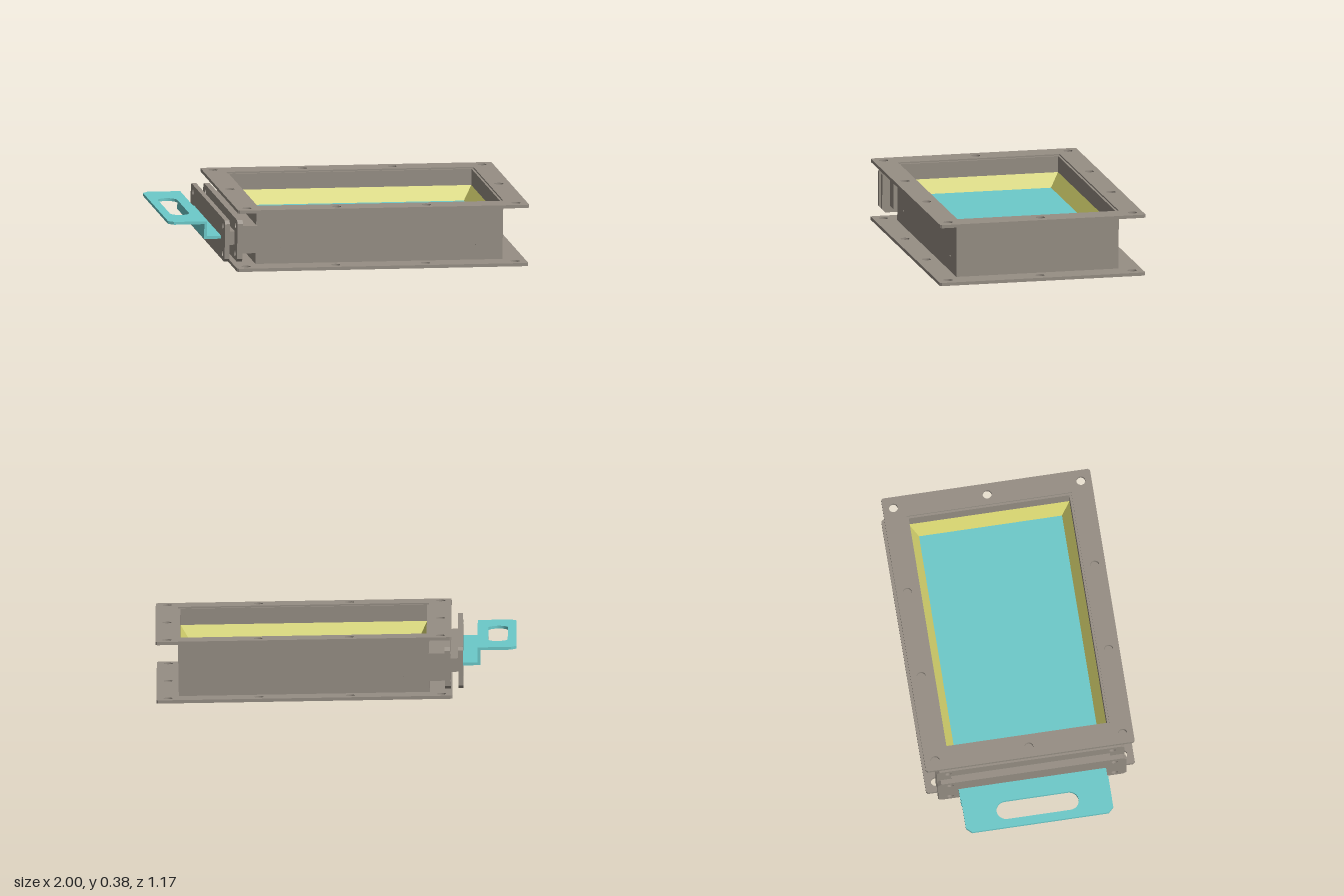
import * as THREE from 'three';

const gray = new THREE.MeshStandardMaterial({ color: 0x968e84 });
gray.name = 'castingGray';
const cyan = new THREE.MeshStandardMaterial({ color: 0x6ccaca });
cyan.name = 'gateCyan';
const yellow = new THREE.MeshStandardMaterial({ color: 0xd2d06c, side: THREE.DoubleSide });
yellow.name = 'sealYellow';

// Closed outline with corners cut by c (set per side: low end, high end)
function outline(Cls, x0, x1, y0, y1, cLow = 0, cHigh = cLow) {
  const p = [
    [x0 + cLow, y0], [x1 - cHigh, y0], [x1, y0 + cHigh], [x1, y1 - cHigh],
    [x1 - cHigh, y1], [x0 + cLow, y1], [x0, y1 - cLow], [x0, y0 + cLow],
  ].filter((a, i, all) => {
    const b = all[(i + 1) % 8];
    return Math.hypot(a[0] - b[0], a[1] - b[1]) > 1e-6;
  });
  return new Cls(p.map(([x, y]) => new THREE.Vector2(x, y)));
}

const roundHole = (x, y, r) => new THREE.Path().absarc(x, y, r, 0, Math.PI * 2, true);

// Slot running along x or y, with round ends
function slotHole(x, y, length, r, alongX) {
  const h = length / 2 - r;
  const path = new THREE.Path();
  if (alongX) {
    path.absarc(x + h, y, r, -Math.PI / 2, Math.PI / 2, false);
    path.absarc(x - h, y, r, Math.PI / 2, Math.PI * 1.5, false);
  } else {
    path.absarc(x, y + h, r, 0, Math.PI, false);
    path.absarc(x, y - h, r, Math.PI, Math.PI * 2, false);
  }
  path.closePath();
  return path;
}

function extrude(shape, depth) {
  return new THREE.ExtrudeGeometry(shape, { depth, bevelEnabled: false, curveSegments: 12 });
}

export function createModel() {
  const model = new THREE.Group();
  model.name = 'slideGateValve';
  // The whole assembly leans one degree
  const body = new THREE.Group();
  body.name = 'tiltedAssembly';
  body.rotation.z = -Math.PI / 180;
  model.add(body);

  const add = (name, geometry, material) => {
    const mesh = new THREE.Mesh(geometry, material);
    mesh.name = name;
    body.add(mesh);
    return mesh;
  };
  // Horizontal plate from a shape in x and z, standing on y
  const flat = (name, shape, y, t, material) =>
    add(name, extrude(shape, t).rotateX(-Math.PI / 2).translate(0, y, 0), material);
  const box = (name, x0, x1, y0, y1, halfZ, material) =>
    add(name, new THREE.BoxGeometry(x1 - x0, y1 - y0, halfZ * 2)
      .translate((x0 + x1) / 2, (y0 + y1) / 2, 0), material);

  // Housing extents
  const X0 = -0.521, X1 = 0.869, Z = 0.462, wall = 0.012;
  const I0 = X0 + wall, I1 = X1 - wall, IZ = Z - wall;

  // Flanges with ten bolt holes
  for (const [name, y] of [['bottomFlange', 0.0175], ['topFlange', 0.3465]]) {
    const shape = outline(THREE.Shape, -0.646, 0.993, -0.585, 0.585, 0.01);
    shape.holes.push(outline(THREE.Path, X0, X1, -Z, Z));
    for (const z of [-0.525, 0.525])
      for (let i = 0; i < 4; i++) shape.holes.push(roundHole(-0.586 + i * 0.505, z, 0.025));
    for (const x of [-0.586, 0.929]) shape.holes.push(roundHole(x, 0, 0.025));
    flat(name, shape, y, 0.018, gray);
  }

  // Housing walls
  const walls = outline(THREE.Shape, X0, X1, -Z, Z);
  walls.holes.push(outline(THREE.Path, I0, I1, -IZ, IZ));
  flat('housingWalls', walls, 0.022, 0.334, gray);

  // Lower ledge with slots, carrying the gate
  const ledge = outline(THREE.Shape, I0, I1, -IZ, IZ);
  ledge.holes.push(outline(THREE.Path, I0 + 0.065, I1 - 0.065, -IZ + 0.065, IZ - 0.065));
  for (const s of [-1, 1]) {
    for (let i = 0; i < 4; i++)
      ledge.holes.push(slotHole(-0.36 + i * 0.36, s * (IZ - 0.026), 0.07, 0.011, true));
    for (const x of [I0 + 0.03, I1 - 0.03])
      ledge.holes.push(slotHole(x, s * 0.24, 0.07, 0.011, false));
  }
  flat('lowerLedge', ledge, 0.15, 0.02, gray);

  // Guide frame around the gate
  const guide = outline(THREE.Shape, I0, I1, -IZ, IZ);
  guide.holes.push(outline(THREE.Path, I0 + 0.045, I1 - 0.03, -0.413, 0.413));
  flat('gateGuide', guide, 0.17, 0.016, gray);

  // Sloped seal between the walls and the gate
  const rim = [[I0, IZ], [I1, IZ], [I1, -IZ], [I0, -IZ]];
  const lip = [[-0.467, 0.4], [0.807, 0.4], [0.807, -0.4], [-0.467, -0.4]];
  const points = [];
  for (let i = 0; i < 4; i++) {
    const j = (i + 1) % 4;
    const a = [rim[i][0], 0.265, rim[i][1]], b = [rim[j][0], 0.265, rim[j][1]];
    const c = [lip[j][0], 0.187, lip[j][1]], d = [lip[i][0], 0.187, lip[i][1]];
    points.push(...a, ...b, ...c, ...a, ...c, ...d);
  }
  const seal = new THREE.BufferGeometry();
  seal.setAttribute('position', new THREE.Float32BufferAttribute(points, 3));
  seal.computeVertexNormals();
  add('slopedSeal', seal, yellow);

  // Neck pieces and bolted end plates on the gate side
  box('innerNeck', -0.607, X0 + 0.004, 0.101, 0.255, 0.484, gray);
  box('outerNeck', -0.684, -0.635, 0.143, 0.219, 0.445, gray);
  for (const [name, x, t] of [['innerEndPlate', -0.638, 0.031], ['outerEndPlate', -0.708, 0.027]]) {
    const shape = outline(THREE.Shape, -0.527, 0.527, 0.062, 0.295, 0.018);
    for (const z of [-0.46, 0.46])
      for (const y of [0.1, 0.257]) shape.holes.push(roundHole(z, y, 0.018));
    add(name, extrude(shape, t).rotateY(Math.PI / 2).translate(x, 0, 0), gray);
  }

  // Sliding gate, its riser and the slotted grip
  box('gateBlade', -0.804, 0.827, 0.172, 0.188, 0.413, cyan);
  box('handleRiser', -0.804, -0.789, 0.172, 0.27, 0.413, cyan);
  const grip = outline(THREE.Shape, -1.004, -0.789, -0.413, 0.413, 0.03, 0);
  grip.holes.push(slotHole(-0.902, 0, 0.46, 0.054, false));
  flat('handleGrip', grip, 0.256, 0.016, cyan);

  // Small pins on the long sides
  for (const s of [-1, 1])
    for (const x of [-0.38, 0.72])
      add('sidePin', new THREE.CylinderGeometry(0.006, 0.006, 0.006, 10)
        .rotateX(Math.PI / 2).translate(x, 0.12, s * Z), gray);

  return model;
}
